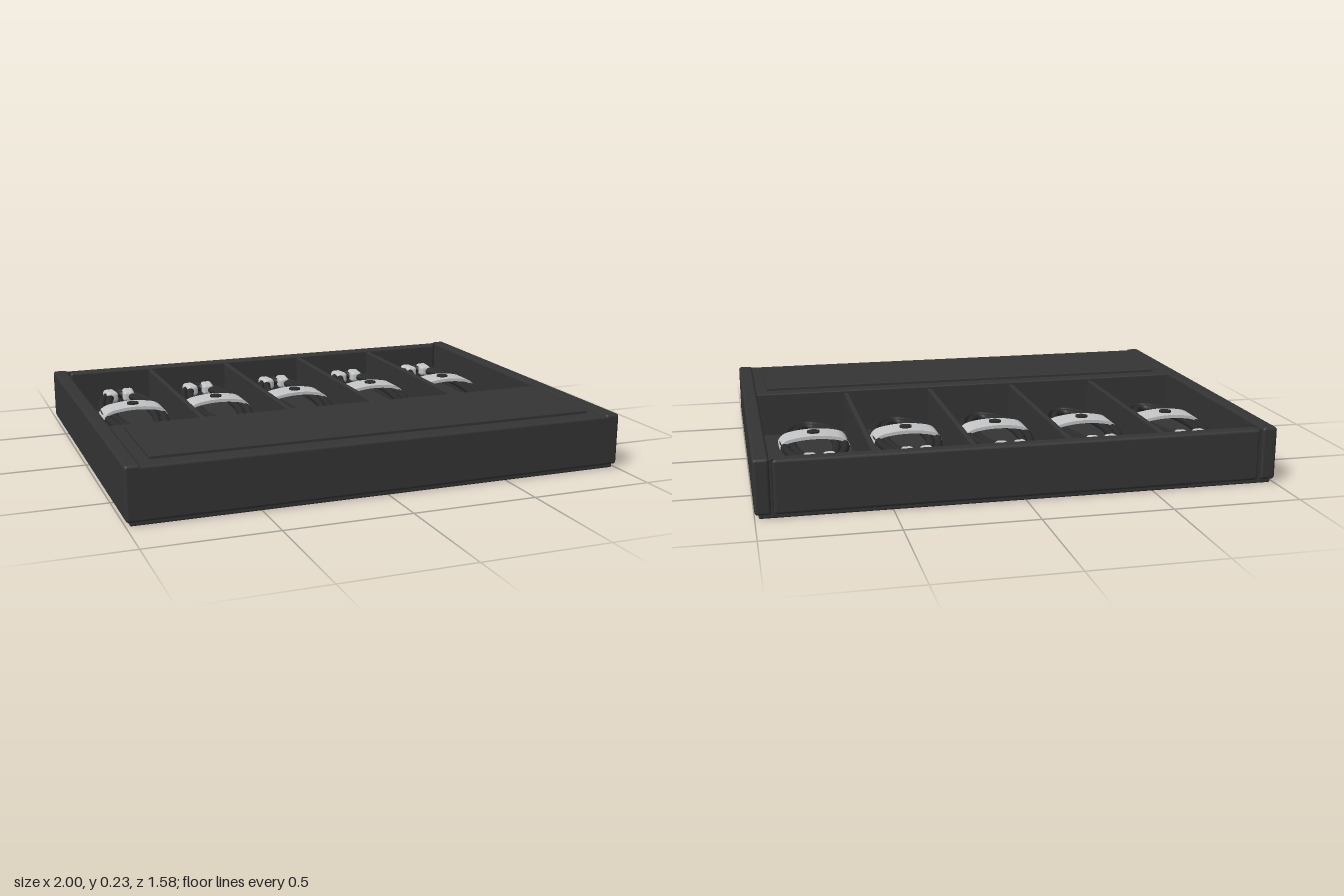
import * as THREE from 'three';
import { RoundedBoxGeometry } from 'three/addons/geometries/RoundedBoxGeometry.js';

const plastic = new THREE.MeshStandardMaterial({ color: 0x343434 });
plastic.name = 'dark plastic';
const wireBlack = new THREE.MeshStandardMaterial({ color: 0x2b2b2b });
wireBlack.name = 'black wire';
const steel = new THREE.MeshStandardMaterial({ color: 0xc2c4c6 });
steel.name = 'steel';

function add(parent, name, geometry, material, x = 0, y = 0, z = 0) {
  const mesh = new THREE.Mesh(geometry, material);
  mesh.name = name;
  mesh.position.set(x, y, z);
  parent.add(mesh);
  return mesh;
}

// Box given by its lower and upper limits, with softened edges
function block(parent, name, [x0, x1], [y0, y1], [z0, z1], r = 0.008) {
  const geometry = new RoundedBoxGeometry(x1 - x0, y1 - y0, z1 - z0, 2, r);
  return add(parent, name, geometry, plastic, (x0 + x1) / 2, (y0 + y1) / 2, (z0 + z1) / 2);
}

// Closed oval of wire, sloping gently down towards the front
function wireLoop(rx, zBack, zFront) {
  const points = [];
  const mid = (zBack + zFront) / 2, rz = (zFront - zBack) / 2;
  for (let i = 0; i < 24; i++) {
    const a = (i / 24) * Math.PI * 2;
    const z = mid + Math.sin(a) * rz;
    points.push(new THREE.Vector3(Math.cos(a) * rx, 0.118 - z * 0.04, z));
  }
  const path = new THREE.CatmullRomCurve3(points, true);
  return new THREE.TubeGeometry(path, 64, 0.016, 10, true);
}

// Thin strap, arched across its width
function archedPlate() {
  const shape = new THREE.Shape();
  shape.moveTo(-0.138, 0.125);
  shape.quadraticCurveTo(-0.13, 0.155, -0.09, 0.162);
  shape.quadraticCurveTo(0, 0.18, 0.09, 0.162);
  shape.quadraticCurveTo(0.13, 0.155, 0.138, 0.125);
  shape.lineTo(0.126, 0.125);
  shape.quadraticCurveTo(0.12, 0.144, 0.085, 0.15);
  shape.quadraticCurveTo(0, 0.165, -0.085, 0.15);
  shape.quadraticCurveTo(-0.12, 0.144, -0.126, 0.125);
  return new THREE.ExtrudeGeometry(shape, { depth: 0.116, bevelEnabled: false, curveSegments: 10 });
}

function createClip() {
  const clip = new THREE.Group();
  add(clip, 'outerWire', wireLoop(0.12, -0.6, 0.055), wireBlack);
  add(clip, 'innerWire', wireLoop(0.085, -0.575, 0.012), wireBlack);
  add(clip, 'clampPlate', archedPlate(), steel, 0, 0, -0.328);
  add(clip, 'screw', new THREE.CylinderGeometry(0.025, 0.025, 0.008, 16), wireBlack, 0, 0.173, -0.27);
  // Metal sleeves gripping the back of the wires
  for (const side of [-1, 1]) {
    const sleeve = new RoundedBoxGeometry(0.052, 0.05, 0.085, 3, 0.016);
    add(clip, 'wireSleeve', sleeve, steel, side * 0.04, 0.14, -0.56).rotation.y = side * -0.12;
  }
  return clip;
}

export function createModel() {
  const tray = new THREE.Group();
  tray.name = 'moneyTray';

  // Base plate and outer walls
  block(tray, 'base', [-0.985, 0.985], [0, 0.035], [-0.78, 0.78], 0.006);
  for (const s of [-1, 1]) {
    const x = s < 0 ? [-1, -0.94] : [0.94, 1];
    block(tray, 'sideWall', x, [0.015, 0.225], [-0.79, 0.79], 0.012);
    // Rounded post in each back corner
    const post = new THREE.CylinderGeometry(0.012, 0.012, 0.19, 12);
    add(tray, 'cornerPost', post, plastic, s * 0.935, 0.125, -0.768);
  }
  block(tray, 'backWall', [-0.93, 0.93], [0.015, 0.22], [-0.79, -0.735], 0.012);
  block(tray, 'frontSkirt', [-0.985, 0.985], [0.015, 0.22], [0.74, 0.79], 0.012);

  // Closed front compartment and its lid
  block(tray, 'frontCompartment', [-0.945, 0.945], [0.02, 0.218], [0.222, 0.78], 0.006);
  block(tray, 'lid', [-0.895, 0.895], [0.205, 0.23], [0.285, 0.715], 0.003);

  // Dividers between the five bays
  for (let i = 0; i < 4; i++) {
    const x = -0.557 + i * 0.371;
    block(tray, 'divider', [x - 0.011, x + 0.011], [0.03, 0.212], [-0.732, 0.205], 0.006);
  }

  // One wire clip in each bay
  for (let i = 0; i < 5; i++) {
    const clip = createClip();
    clip.name = 'noteClip';
    clip.position.x = -0.742 + i * 0.371;
    tray.add(clip);
  }
  return tray;
}
